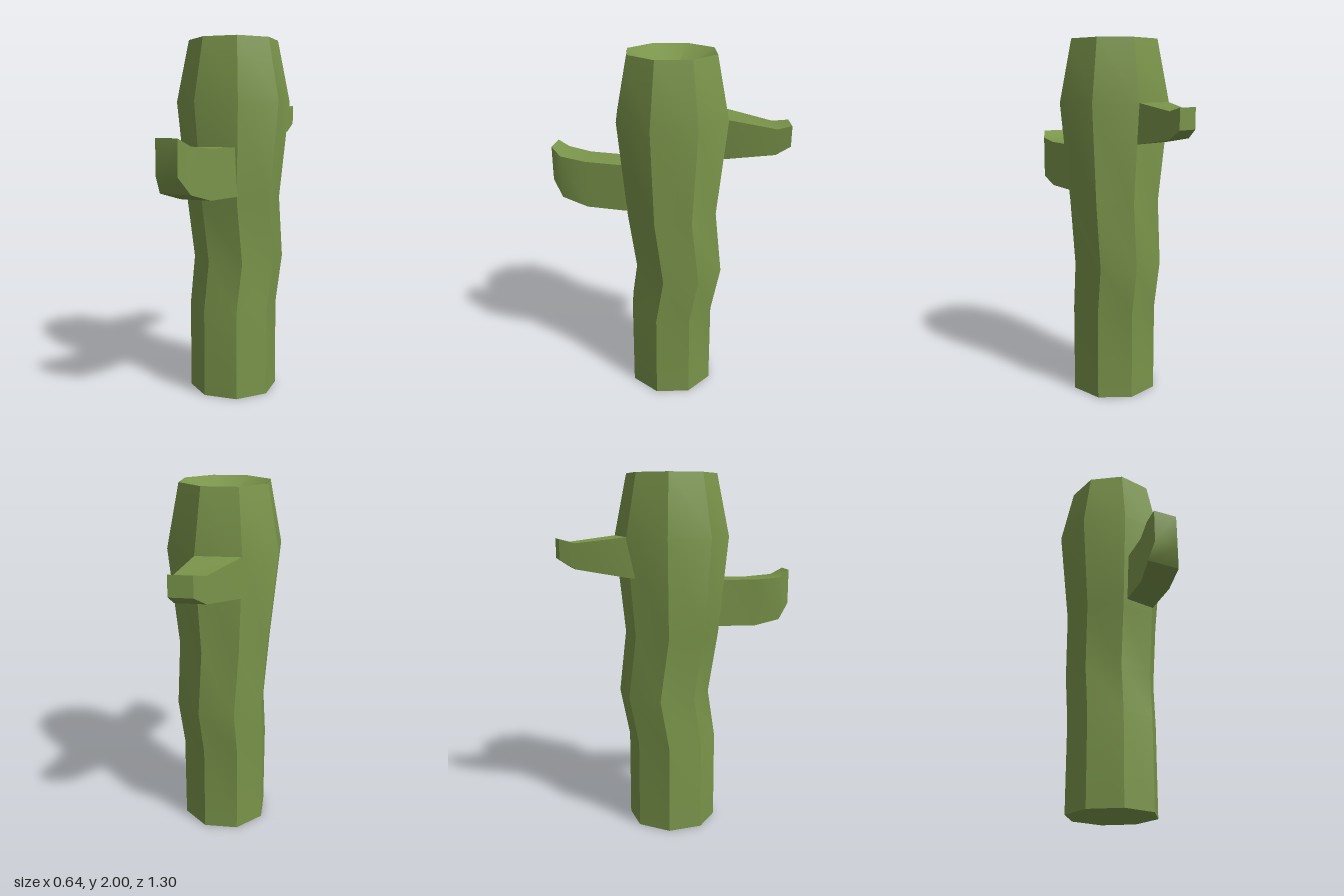
import * as THREE from 'three';
import { toCreasedNormals } from 'three/addons/utils/BufferGeometryUtils.js';

const bark = new THREE.MeshStandardMaterial({ color: 0x7a944a });

function addMesh(group, geometry, name) {
  const mesh = new THREE.Mesh(toCreasedNormals(geometry, 0.6), bark);
  mesh.name = name;
  group.add(mesh);
}

// Eight-sided trunk with a hollow at each end; each ring is [radius, y, z offset].
function trunkGeometry() {
  const rings = [
    [0, 0.15, -0.01], [0.25, 0, -0.01], [0.25, 0.5, -0.01], [0.257, 0.77, -0.057],
    [0.265, 1.12, -0.01], [0.32, 1.66, -0.012], [0.25, 2, -0.012], [0, 1.85, -0.012],
  ];
  const geometry = new THREE.LatheGeometry(rings.map(([r, y]) => new THREE.Vector2(r, y)), 8);
  const pos = geometry.attributes.position;
  for (let i = 0; i < pos.count; i++) pos.setZ(i, pos.getZ(i) + rings[i % rings.length][2]);
  return geometry;
}

// Four-sided stub lofted through sections [x1, z1, x2, z2, bottom, top], closed at both ends.
// Side 1 lies to the left when looking back along the stub from its tip.
function stubGeometry(sections) {
  const positions = [];
  const index = [];
  for (const [x1, z1, x2, z2, bottom, top] of sections) {
    positions.push(x1, bottom, z1, x2, bottom, z2, x2, top, z2, x1, top, z1);
  }
  for (let s = 0; s < sections.length - 1; s++) {
    for (let k = 0; k < 4; k++) {
      const a = s * 4 + k, b = s * 4 + (k + 1) % 4;
      index.push(a, b, b + 4, a, b + 4, a + 4);
    }
  }
  const e = (sections.length - 1) * 4;
  index.push(e, e + 1, e + 2, e, e + 2, e + 3, 0, 2, 1, 0, 3, 2);
  const geometry = new THREE.BufferGeometry();
  geometry.setAttribute('position', new THREE.Float32BufferAttribute(positions, 3));
  geometry.setIndex(index);
  geometry.computeVertexNormals();
  return geometry;
}

export function createModel() {
  const group = new THREE.Group();
  group.name = 'hollowLog';

  addMesh(group, trunkGeometry(), 'trunk');

  // Thick stub at the front, curling up at its tip
  addMesh(group, stubGeometry([
    [0.02, 0.2, 0.19, 0.15, 1.15, 1.415],
    [0.045, 0.46, 0.215, 0.41, 1.15, 1.415],
    [0.04, 0.6, 0.22, 0.56, 1.19, 1.43],
    [0.065, 0.65, 0.195, 0.625, 1.28, 1.47],
  ]), 'frontBranch');

  // Tapering stub at the back
  addMesh(group, stubGeometry([
    [0, -0.24, -0.22, -0.13, 1.44, 1.66],
    [0, -0.325, -0.225, -0.235, 1.45, 1.665],
    [-0.04, -0.58, -0.187, -0.52, 1.49, 1.63],
    [-0.055, -0.655, -0.17, -0.61, 1.54, 1.65],
  ]), 'backBranch');

  return group;
}
